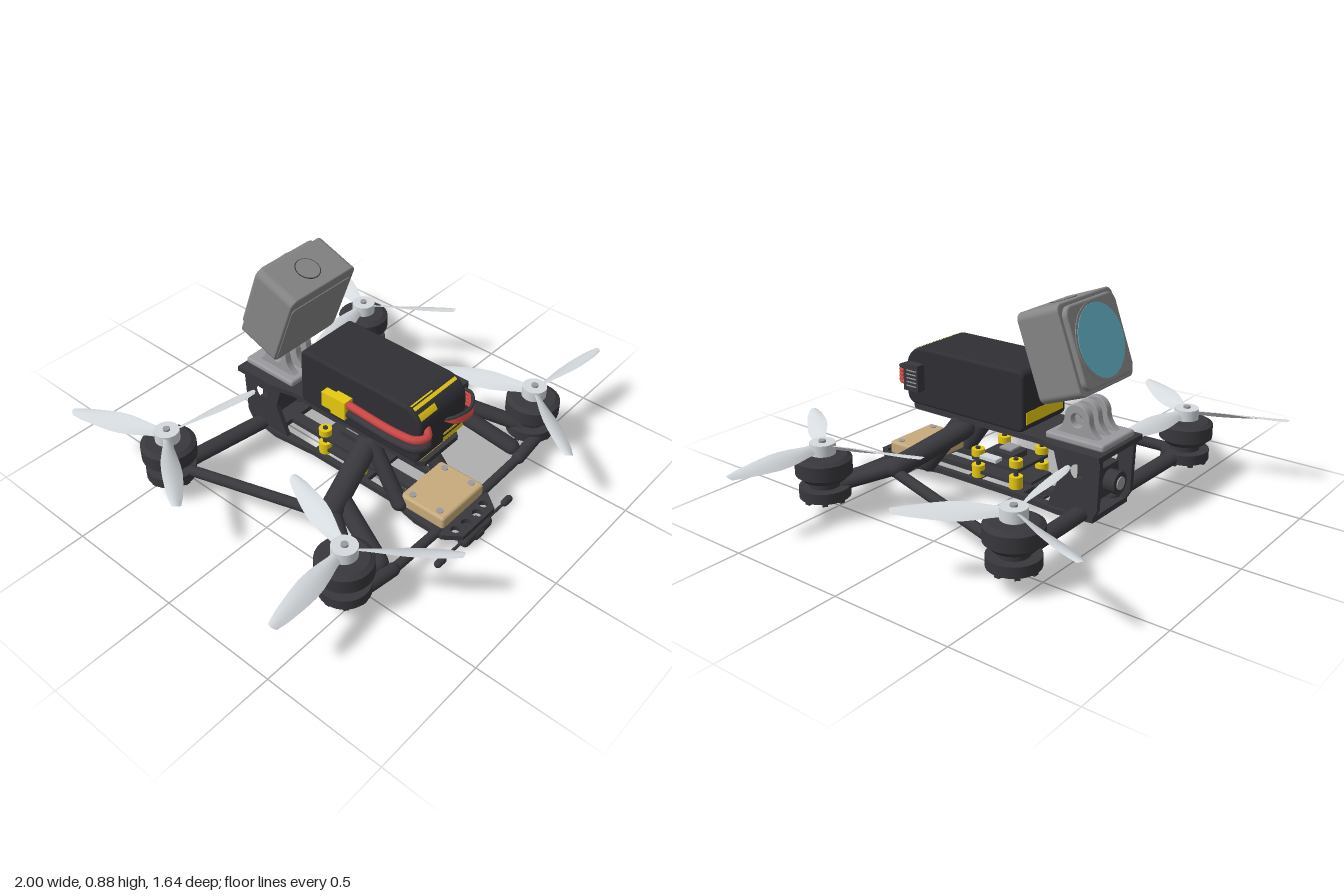
import * as THREE from 'three';
import { RoundedBoxGeometry } from 'three/addons/geometries/RoundedBoxGeometry.js';

const V = (x, y, z) => new THREE.Vector3(x, y, z);

export function createModel() {
  const root = new THREE.Group();
  root.name = 'quadcopter';
  const mat = (name, color, side = THREE.FrontSide) => {
    const m = new THREE.MeshStandardMaterial({ color, side });
    m.name = name;
    return m;
  };
  const dark = mat('carbon', 0x38383d), black = mat('batteryWrap', 0x2f2f34);
  const grey = mat('cameraGrey', 0x868686), mountGrey = mat('mountGrey', 0x9b9b9f);
  const pale = mat('propeller', 0xd5dade, THREE.DoubleSide), teal = mat('lensGlass', 0x66b6ca);
  const tan = mat('tan', 0xc6ab7b), red = mat('redWire', 0xcb4746);
  const yellow = mat('yellow', 0xe6ca10, THREE.DoubleSide);

  const add = (name, geo, m, x = 0, y = 0, z = 0, parent = root) => {
    const mesh = new THREE.Mesh(geo, m);
    mesh.name = name;
    mesh.position.set(x, y, z);
    parent.add(mesh);
    return mesh;
  };
  const box = (name, w, h, d, m, x, y, z, parent) => add(name, new THREE.BoxGeometry(w, h, d), m, x, y, z, parent);
  const cyl = (name, r, h, m, x, y, z, parent, r2 = r) => add(name, new THREE.CylinderGeometry(r, r2, h, 28), m, x, y, z, parent);
  const tube = (name, pts, r, m) => add(name, new THREE.TubeGeometry(new THREE.CatmullRomCurve3(pts), 24, r, 8), m);
  // rounded strut from a to b, w wide and h high
  const strut = (name, a, b, w, h) => {
    const geo = new THREE.CapsuleGeometry(0.5, a.distanceTo(b) / w, 4, 12);
    geo.rotateX(Math.PI / 2).scale(w, h, w);
    const mesh = add(name, geo, dark);
    mesh.position.copy(a).lerp(b, 0.5);
    mesh.lookAt(b);
  };
  // flat plate drawn in x and z, top face at y
  const plate = (name, shape, t, m, y) =>
    add(name, new THREE.ExtrudeGeometry(shape, { depth: t, bevelEnabled: false }).rotateX(Math.PI / 2), m, 0, y, 0);
  // profile extruded about the middle plane
  const slab = (shape, w, bevel = 0) => new THREE.ExtrudeGeometry(shape, {
    depth: w - 2 * bevel, bevelEnabled: bevel > 0, bevelSize: bevel, bevelThickness: bevel,
    bevelOffset: -bevel, bevelSegments: 3, curveSegments: 12,
  }).translate(0, 0, bevel - w / 2);
  // the same, with the profile drawn in z and y
  const sideExtrude = (shape, w, bevel) => slab(shape, w, bevel).rotateY(-Math.PI / 2);
  const roundRect = (w, h, r) => {
    const x = w / 2 - r, y = h / 2 - r, q = Math.PI / 2;
    return new THREE.Shape().absarc(x, y, r, 0, q).absarc(-x, y, r, q, 2 * q).absarc(-x, -y, r, 2 * q, 3 * q).absarc(x, -y, r, 3 * q, 4 * q);
  };
  const poly = pts => new THREE.Shape(pts.map(p => new THREE.Vector2(...p)));
  const rectHole = (s, x0, x1, z0, z1) => s.holes.push(new THREE.Path([[x0, z0], [x0, z1], [x1, z1], [x1, z0]].map(p => new THREE.Vector2(...p))));
  const roundHole = (s, x, z, r) => s.holes.push(new THREE.Path().absarc(x, z, r, 0, Math.PI * 2, true));

  // bottom plate with slots and nose holes
  const base = poly([[-0.12, -0.45], [0.12, -0.45], [0.14, -0.3], [0.12, -0.1], [0.12, 0.3], [0.15, 0.45], [0.15, 0.58], [0.1, 0.645],
    [-0.1, 0.645], [-0.15, 0.58], [-0.15, 0.45], [-0.12, 0.3], [-0.12, -0.1], [-0.14, -0.3]]);
  for (const s of [-1, 1]) {
    for (const [z0, z1] of [[-0.31, -0.11], [-0.07, 0.13], [0.17, 0.4]]) {
      rectHole(base, s * 0.06 - 0.035, s * 0.06 + 0.035, z0, z1);
    }
    roundHole(base, s * 0.09, 0.6, 0.018);
    roundHole(base, s * 0.035, 0.61, 0.02);
  }
  plate('bottomPlate', base, 0.022, dark, 0.09);

  // top plate
  plate('topPlate', poly([[-0.15, -0.49], [0.15, -0.49], [0.15, -0.3], [0.125, -0.2], [0.125, 0.42], [0.1, 0.45],
    [-0.1, 0.45], [-0.125, 0.42], [-0.125, -0.2], [-0.15, -0.3]]), 0.022, dark, 0.35);

  // printed frame, arms and rear housing, mirrored
  for (const s of [-1, 1]) {
    const P = (x, y, z) => V(s * x, y, z);
    const hub = P(0.41, 0.21, 0.26);
    strut('shoulder', P(0.11, 0.29, 0.18), hub, 0.095, 0.08);
    strut('frontArm', hub, P(0.54, 0.13, 0.46), 0.07, 0.06);
    strut('frontArmBrace', P(0.35, 0.215, 0.26), P(0.42, 0.11, 0.5), 0.075, 0.06);
    strut('bumper', P(0.57, 0.11, 0.54), P(0.4, 0.09, 0.55), 0.055, 0.05);
    strut('bumper', P(0.42, 0.09, 0.55), P(0.1, 0.08, 0.55), 0.04, 0.035);
    strut('frontLeg', P(0.11, 0.31, 0.2), P(0.13, 0.1, 0.36), 0.06, 0.075);
    strut('sideBar', P(0.425, 0.19, 0.24), P(0.56, 0.13, -0.38), 0.045, 0.045);
    strut('rearArm', P(0.57, 0.12, -0.43), P(0.1, 0.09, -0.39), 0.075, 0.055);
    const cheek = poly([[-0.48, 0.33], [-0.27, 0.33], [-0.3, 0.22], [-0.24, 0.08], [-0.44, 0.07], [-0.47, 0.12]]);
    roundHole(cheek, -0.38, 0.26, 0.03);
    add('rearCheek', sideExtrude(cheek, 0.02), dark, s * 0.115, 0, 0);
  }

  // rear pilot camera
  box('pilotCamera', 0.13, 0.12, 0.1, dark, 0, 0.2, -0.39);
  box('pilotCameraBracket', 0.21, 0.03, 0.06, dark, 0, 0.2, -0.38);
  cyl('pilotLens', 0.045, 0.06, dark, 0, 0.2, -0.46).rotation.x = Math.PI / 2;
  cyl('pilotLensGlass', 0.026, 0.006, mountGrey, 0, 0.2, -0.492).rotation.x = Math.PI / 2;

  // propeller blade: twisted, tapered sheet
  const chords = [0.04, 0.05, 0.068, 0.082, 0.086, 0.08, 0.07, 0.058, 0.036];
  const blade = new THREE.PlaneGeometry(1, 1, 8, 4);
  const p = blade.attributes.position;
  for (let i = 0; i < p.count; i++) {
    const u = p.getX(i) + 0.5, v = p.getY(i);
    const c = v * chords[Math.round(u * 8)], pitch = 0.7 - 0.5 * u;
    p.setXYZ(i, 0.03 + u * (0.386 - 0.04 * v * v), -c * Math.sin(pitch) + 0.008 * (1 - 4 * v * v), -c * Math.cos(pitch));
  }
  blade.computeVertexNormals();

  // motor with its mount and three-bladed propeller
  const rotor = (s, z, tips) => {
    const g = new THREE.Group();
    g.name = 'rotor';
    g.position.set(s * 0.585, 0, z);
    root.add(g);
    cyl('motorMount', 0.1, 0.042, dark, 0, 0.118, 0, g);
    cyl('motorNeck', 0.06, 0.04, dark, 0, 0.152, 0, g);
    cyl('motorBase', 0.105, 0.025, dark, 0, 0.182, 0, g, 0.085);
    cyl('motorBell', 0.11, 0.058, dark, 0, 0.222, 0, g);
    cyl('motorCap', 0.09, 0.012, dark, 0, 0.257, 0, g, 0.11);
    cyl('propellerHub', 0.05, 0.045, pale, 0, 0.293, 0, g);
    cyl('propellerNut', 0.014, 0.014, mountGrey, 0, 0.317, 0, g);
    for (let i = 0; i < 8; i++) {
      const a = i * Math.PI / 4;
      box('mountRib', 0.02, 0.012, 0.05, dark, 0.07 * Math.sin(a), 0.092, 0.07 * Math.cos(a), g).rotation.y = a;
    }
    for (const [dx, dz] of tips) {
      add('propellerBlade', blade, pale, 0, 0.295, 0, g).rotation.y = Math.atan2(-dz, s * dx);
    }
  };
  for (const s of [-1, 1]) {
    rotor(s, 0.48, [[0.415, 0.05], [-0.145, -0.38], [-0.255, 0.33]]);
    rotor(s, -0.44, [[0.155, -0.38], [0.245, 0.33], [-0.42, 0.07]]);
  }

  // battery with a big rounded upper front edge
  const pack = new THREE.Shape();
  pack.moveTo(-0.11, 0.355).lineTo(0.41, 0.355).absarc(0.41, 0.395, 0.04, -Math.PI / 2, 0);
  pack.absarc(0.36, 0.51, 0.09, 0, Math.PI / 2).absarc(-0.115, 0.575, 0.025, Math.PI / 2, Math.PI);
  pack.absarc(-0.115, 0.38, 0.025, Math.PI, Math.PI * 1.5);
  add('battery', sideExtrude(pack, 0.28, 0.012), black);
  // label stripes wrapped over the rounded edges
  const stripe = (x0, x1, cy, cz, r, t0, t1) => add('labelStripe',
    new THREE.CylinderGeometry(r, r, x1 - x0, 6, 1, true, t0, t1 - t0).rotateZ(Math.PI / 2), yellow, (x0 + x1) / 2, cy, cz);
  stripe(-0.125, 0.125, 0.51, 0.36, 0.092, 0.98, 1.14);
  stripe(-0.125, -0.03, 0.51, 0.36, 0.092, 0.5, 0.8);
  stripe(-0.125, 0.0, 0.51, 0.36, 0.092, 1.2, 1.27);
  stripe(-0.125, 0.125, 0.395, 0.41, 0.042, -0.85, -0.55);
  stripe(0, 0.125, 0.395, 0.41, 0.042, -0.4, 0.2);
  box('labelStripe', 0.12, 0.01, 0.004, yellow, 0.065, 0.418, 0.45);
  box('rearLabel', 0.24, 0.05, 0.004, yellow, 0, 0.41, -0.139);

  // power lead and plug
  for (const [y, m] of [[0.503, red], [0.462, dark]]) {
    tube('powerLead', [V(-0.09, y, 0.44), V(-0.13, y, 0.475), V(-0.17, y, 0.455), V(-0.185, y, 0.38), V(-0.178, y, 0.13)], 0.016, m);
  }
  box('powerPlug', 0.045, 0.08, 0.07, yellow, -0.178, 0.481, 0.105);
  box('powerPlugTip', 0.035, 0.065, 0.06, yellow, -0.178, 0.481, 0.05);

  // balance lead and connector
  box('balanceConnector', 0.04, 0.11, 0.075, dark, 0.172, 0.485, 0.38);
  for (let i = 0; i < 5; i++) {
    const y = 0.452 + i * 0.016;
    box('connectorPin', 0.004, 0.004, 0.05, mountGrey, 0.193, y, 0.375);
    tube('balanceWire', [V(0.172, y, 0.41), V(0.165, y, 0.455), V(0.11, 0.465 + i * 0.009, 0.49), V(0.04, 0.47 + i * 0.007, 0.48), V(0.01, 0.48, 0.445)],
      0.007, i === 4 ? dark : red);
  }

  // action camera, tilted up and facing the rear
  const cam = new THREE.Group();
  cam.name = 'actionCamera';
  cam.position.set(0, 0.7, -0.28);
  cam.rotation.x = 0.35;
  root.add(cam);
  add('cameraBody', slab(roundRect(0.355, 0.348, 0.03), 0.19, 0.006), grey, 0, 0, 0, cam);
  add('cameraScreen', slab(roundRect(0.33, 0.29, 0.02), 0.008, 0.003), grey, 0, -0.02, 0.095, cam);
  add('cameraFacePlate', slab(roundRect(0.32, 0.315, 0.04), 0.03, 0.008), grey, 0, 0, -0.1, cam);
  cyl('lensRing', 0.15, 0.006, grey, 0, 0, -0.115, cam).rotation.x = Math.PI / 2;
  cyl('lens', 0.14, 0.008, teal, 0, 0, -0.116, cam).rotation.x = Math.PI / 2;
  cyl('buttonRim', 0.052, 0.003, dark, 0, 0.1735, 0, cam);
  cyl('button', 0.048, 0.005, grey, 0, 0.1745, 0, cam);

  // camera mount with three fingers
  add('mountBase', new RoundedBoxGeometry(0.22, 0.028, 0.26, 2, 0.01), mountGrey, 0, 0.366, -0.35);
  const finger = new THREE.Shape();
  finger.moveTo(-0.1, 0).lineTo(0.1, 0).quadraticCurveTo(0.06, 0.025, 0.056, 0.066).absarc(0, 0.066, 0.056, 0, Math.PI);
  finger.quadraticCurveTo(-0.06, 0.025, -0.1, 0);
  roundHole(finger, 0, 0.06, 0.027);
  for (const x of [-0.06, 0, 0.06]) add('mountFinger', sideExtrude(finger, 0.032, 0.004), mountGrey, x, 0.378, -0.34);

  // electronics stack on yellow dampers
  box('circuitBoard', 0.13, 0.012, 0.32, dark, 0, 0.118, 0.035);
  for (const y of [0.118, 0.172]) box('circuitBoard', 0.2, 0.012, 0.23, dark, 0, y, 0.03);
  box('boardChip', 0.09, 0.025, 0.1, dark, 0, 0.19, 0.03);
  box('boardChip', 0.06, 0.008, 0.06, mountGrey, 0, 0.215, 0.03);
  for (const x of [-0.085, 0.085]) for (const z of [-0.065, 0.125]) {
    cyl('stackPost', 0.01, 0.14, dark, x, 0.15, z);
    for (const y of [0.12, 0.2]) cyl('damper', 0.027, y < 0.15 ? 0.05 : 0.028, yellow, x, y, z);
  }
  box('receiver', 0.04, 0.014, 0.08, pale, 0.135, 0.215, 0.02);

  // nose module
  add('noseModule', new RoundedBoxGeometry(0.26, 0.058, 0.21, 2, 0.012), tan, 0, 0.121, 0.465);
  for (const x of [-0.1, 0.1]) for (const z of [0.4, 0.53]) cyl('noseScrew', 0.014, 0.004, mountGrey, x, 0.151, z);

  // antenna below the nose and its cable
  add('antennaPod', new RoundedBoxGeometry(0.18, 0.048, 0.05, 3, 0.02), dark, 0, 0.034, 0.63);
  add('antennaClip', new RoundedBoxGeometry(0.06, 0.035, 0.11, 2, 0.012), dark, 0, 0.03, 0.605);
  box('antennaPost', 0.07, 0.03, 0.03, dark, 0, 0.06, 0.62);
  strut('antennaRod', V(-0.23, 0.034, 0.628), V(0.23, 0.034, 0.628), 0.012, 0.012);
  for (const s of [-1, 1]) strut('antennaTip', V(s * 0.2, 0.034, 0.628), V(s * 0.23, 0.034, 0.628), 0.03, 0.03);
  tube('antennaCable', [V(0, 0.028, 0.57), V(0, 0.027, 0.25), V(0, 0.028, -0.04)], 0.006, dark);
  cyl('antennaPlug', 0.014, 0.025, tan, 0, 0.036, -0.055);
  box('antennaBoard', 0.05, 0.01, 0.1, dark, 0, 0.052, -0.11);
  box('antennaBoardSpacer', 0.03, 0.03, 0.04, dark, 0, 0.065, -0.12);
  return root;
}
